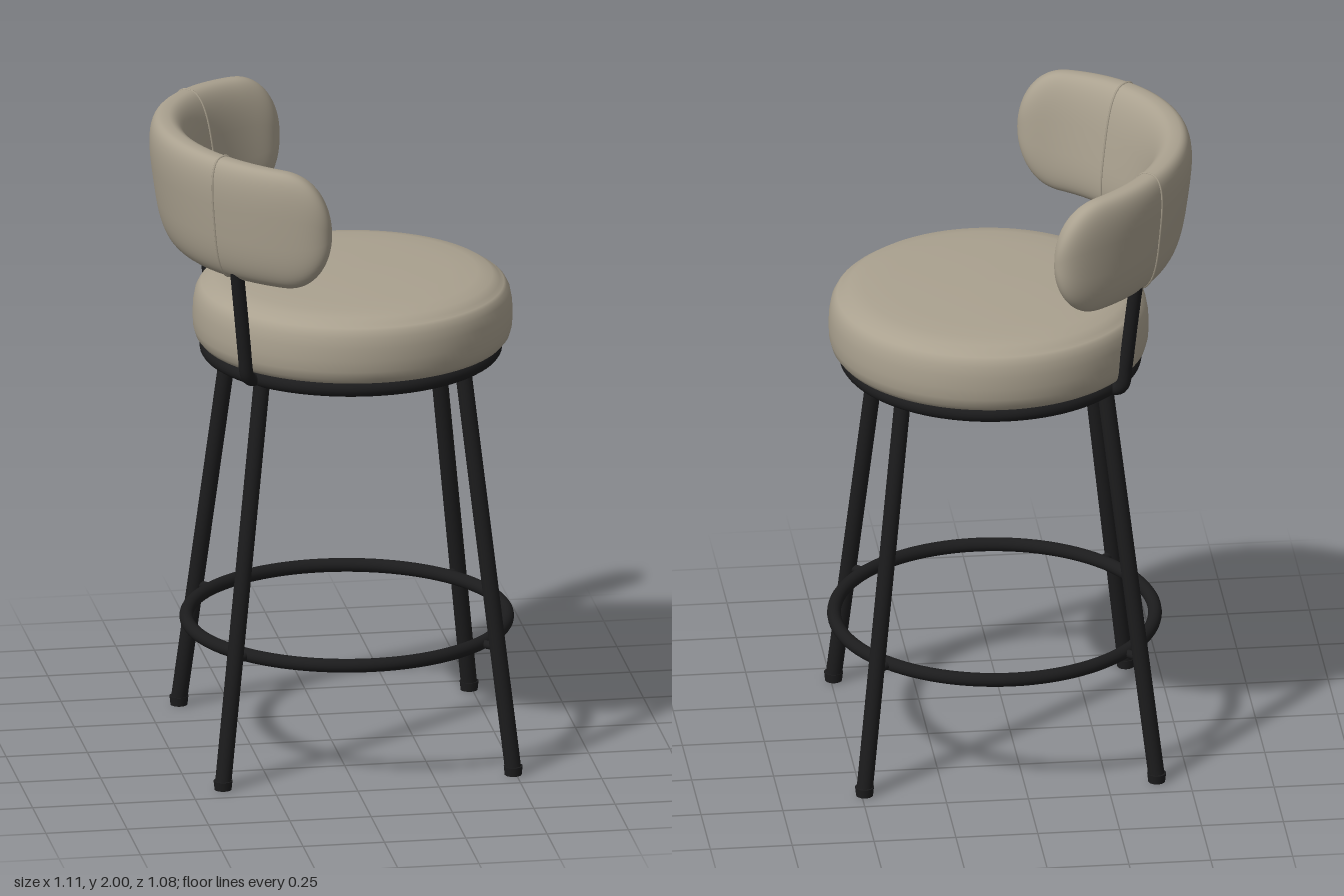
import * as THREE from 'three';

const fabric = new THREE.MeshStandardMaterial({ color: 0xaaa18f });
fabric.name = 'taupeFabric';
const metal = new THREE.MeshStandardMaterial({ color: 0x1c1c1d });
metal.name = 'blackMetal';

const V = (x, y, z) => new THREE.Vector3(x, y, z);

function add(parent, name, geometry, material) {
  const mesh = new THREE.Mesh(geometry, material);
  mesh.name = name;
  parent.add(mesh);
  return mesh;
}

// Straight round bar between two points
function bar(parent, name, a, b, radius) {
  const mesh = add(parent, name, new THREE.CylinderGeometry(radius, radius, a.distanceTo(b), 20), metal);
  mesh.position.copy(a).add(b).multiplyScalar(0.5);
  mesh.quaternion.setFromUnitVectors(V(0, 1, 0), b.clone().sub(a).normalize());
  return mesh;
}

// Horizontal tube ring
function ring(parent, name, x, y, radius, tube) {
  const mesh = add(parent, name, new THREE.TorusGeometry(radius, tube, 16, 96), metal);
  mesh.rotation.x = Math.PI / 2;
  mesh.position.set(x, y, 0);
}

// Point on the backrest skin: theta runs round the arc, phi round the section
const ARC = THREE.MathUtils.degToRad(81);
const softPow = (v, p) => Math.sign(v) * Math.pow(Math.abs(v), p);
function backPoint(theta, phi, grow = 0) {
  const k = Math.min(1, Math.abs(theta) / ARC);
  const u = Math.max(0, (k - 0.78) / 0.22);
  const endHeight = Math.sqrt(Math.max(0, 1 - u ** 2.4));
  const endThick = Math.sqrt(Math.max(0, 1 - u ** 5));
  const half = 0.2 - 0.016 * k * k;
  const v = softPow(Math.sin(phi), 0.62) * endHeight;
  const lean = THREE.MathUtils.lerp(0.165, 0.04, k * k);
  const thick = THREE.MathUtils.lerp(0.069, 0.052, k * k) * (1 - 0.08 * v) * endThick;
  const r = THREE.MathUtils.lerp(0.472, 0.51, k * k) + lean * v * half
    + (thick + grow) * softPow(Math.cos(phi), 0.75);
  return V(-r * Math.cos(theta), 1.6 + half + v * (half + grow), r * Math.sin(theta));
}

function backrestGeometry(nu = 96, nv = 56) {
  const pos = [], idx = [];
  for (let i = 0; i <= nu; i++) {
    const theta = ARC * Math.sin((i / nu - 0.5) * Math.PI);
    for (let j = 0; j < nv; j++) {
      pos.push(...backPoint(theta, (j / nv) * Math.PI * 2).toArray());
    }
  }
  for (let i = 0; i < nu; i++) {
    for (let j = 0; j < nv; j++) {
      const a = i * nv + j, b = i * nv + (j + 1) % nv;
      idx.push(a, a + nv, b, b, a + nv, b + nv);
    }
  }
  const g = new THREE.BufferGeometry();
  g.setAttribute('position', new THREE.Float32BufferAttribute(pos, 3));
  g.setIndex(idx);
  g.computeVertexNormals();
  return g;
}

export function createModel() {
  const stool = new THREE.Group();
  stool.name = 'barStool';

  // Round cushion, softly domed with a stitched shoulder
  const profile = [
    [0, 1.285], [0.445, 1.285], [0.464, 1.289], [0.477, 1.305], [0.484, 1.33], [0.486, 1.365],
    [0.484, 1.405], [0.478, 1.437], [0.468, 1.456], [0.46, 1.463], [0.453, 1.465], [0.447, 1.472],
    [0.425, 1.486], [0.38, 1.495], [0.3, 1.5], [0.15, 1.505], [0, 1.506],
  ].map(([r, y]) => new THREE.Vector2(r, y));
  add(stool, 'seatCushion', new THREE.LatheGeometry(profile, 96), fabric).position.x = 0.065;

  // Wraparound backrest with two stitched seams
  const backrest = new THREE.Group();
  backrest.name = 'backrest';
  stool.add(backrest);
  add(backrest, 'backrestPad', backrestGeometry(), fabric);
  for (const s of [1, -1]) {
    const loop = [];
    for (let j = 0; j < 40; j++) loop.push(backPoint(s * 0.7, (j / 40) * Math.PI * 2));
    const curve = new THREE.CatmullRomCurve3(loop, true);
    add(backrest, 'backrestSeam', new THREE.TubeGeometry(curve, 120, 0.004, 6, true), fabric);
  }

  // Rings under the seat and at the feet
  ring(stool, 'seatRing', 0.06, 1.264, 0.435, 0.025);
  ring(stool, 'footRing', 0.047, 0.396, 0.487, 0.021);

  // Splayed legs with foot caps and short brackets to the foot ring
  for (const sx of [1, -1]) {
    for (const sz of [1, -1]) {
      const top = V(0.05 + sx * 0.308, 1.265, sz * 0.28);
      const foot = V(0.045 + sx * 0.446, 0.015, sz * 0.416);
      bar(stool, 'leg', top, foot, 0.025);
      const cap = add(stool, 'footCap', new THREE.CylinderGeometry(0.029, 0.026, 0.028, 20), metal);
      cap.position.set(foot.x, 0.014, foot.z);
      const joint = foot.clone().lerp(top, (0.396 - foot.y) / (top.y - foot.y));
      const dir = V(joint.x - 0.047, 0, joint.z).normalize();
      bar(stool, 'footRingBracket', joint, V(0.047, 0.396, 0).addScaledVector(dir, 0.487), 0.013);
    }
  }

  // Crossed bars beneath the cushion
  for (const s of [1, -1]) {
    bar(stool, 'crossBar', V(-0.26, 1.264, -s * 0.285), V(0.37, 1.264, s * 0.285), 0.02);
  }

  // Bent posts carrying the backrest
  for (const s of [1, -1]) {
    const path = new THREE.CatmullRomCurve3([
      V(-0.26, 1.264, s * 0.27), V(-0.295, 1.266, s * 0.298), V(-0.31, 1.285, s * 0.31),
      V(-0.318, 1.35, s * 0.317), V(-0.333, 1.5, s * 0.33), V(-0.352, 1.68, s * 0.348),
    ]);
    add(stool, 'backPost', new THREE.TubeGeometry(path, 48, 0.021, 16), metal);
  }

  return stool;
}
